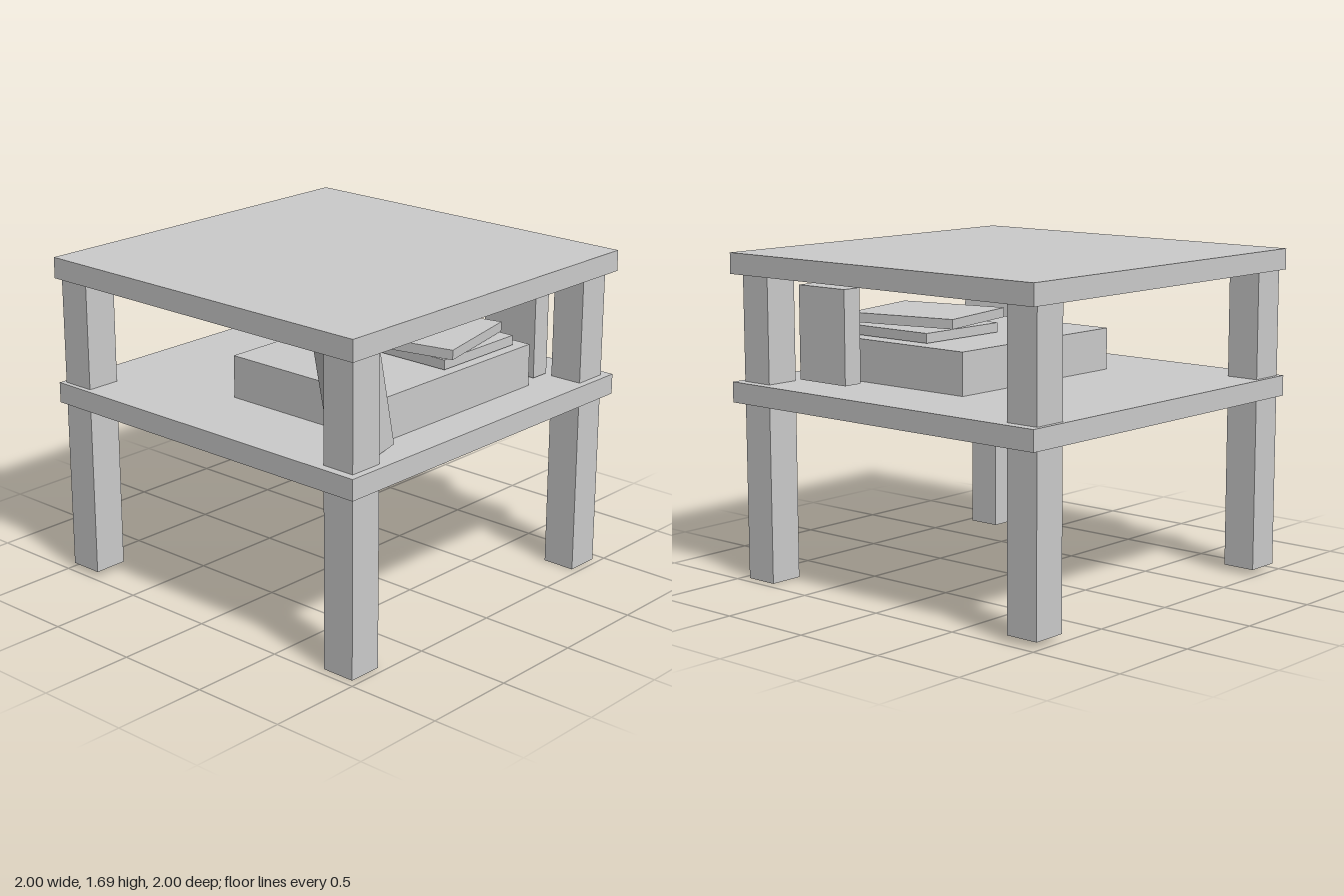
import * as THREE from 'three';

export function createModel() {
  const model = new THREE.Group();
  const material = new THREE.MeshStandardMaterial({ color: 0xcccccc, flatShading: true });

  // Box given by its centre and size
  function box(name, [x, y, z], [w, h, d]) {
    const mesh = new THREE.Mesh(new THREE.BoxGeometry(w, h, d), material);
    mesh.name = name;
    mesh.position.set(x, y, z);
    model.add(mesh);
    return mesh;
  }

  // Two square boards
  box('tableTop', [0, 1.635, 0], [2, 0.108, 2]);
  box('shelf', [0, 0.978, 0], [2, 0.106, 2]);

  // Four square legs running through the shelf; the right pair is slightly shorter
  const legs = [
    ['frontRightLeg', -0.888, 0.882, 0.03],
    ['backRightLeg', -0.888, -0.858, 0.03],
    ['frontLeftLeg', 0.873, 0.866, 0],
    ['backLeftLeg', 0.873, -0.858, 0],
  ];
  const legTop = 1.582;
  for (const [name, x, z, foot] of legs) {
    box(name, [x, (legTop + foot) / 2, z], [0.178, legTop - foot, 0.182]);
  }

  // Low box on the shelf with two flat books on it
  box('storageBox', [0.305, 1.14, 0], [0.97, 0.22, 1.13]);
  box('lowerBook', [0.435, 1.279, -0.22], [0.61, 0.05, 0.535]);
  box('upperBook', [0.435, 1.339, -0.152], [0.607, 0.05, 0.537]).rotation.y = 0.216;

  // Upright book at the back, and one leaning on the front leg
  box('uprightBook', [0.592, 1.282, -0.708], [0.323, 0.485, 0.108]);
  box('leaningBook', [0.72, 1.28, 0.681], [0.323, 0.485, 0.105]).rotation.x = 0.21;

  return model;
}
